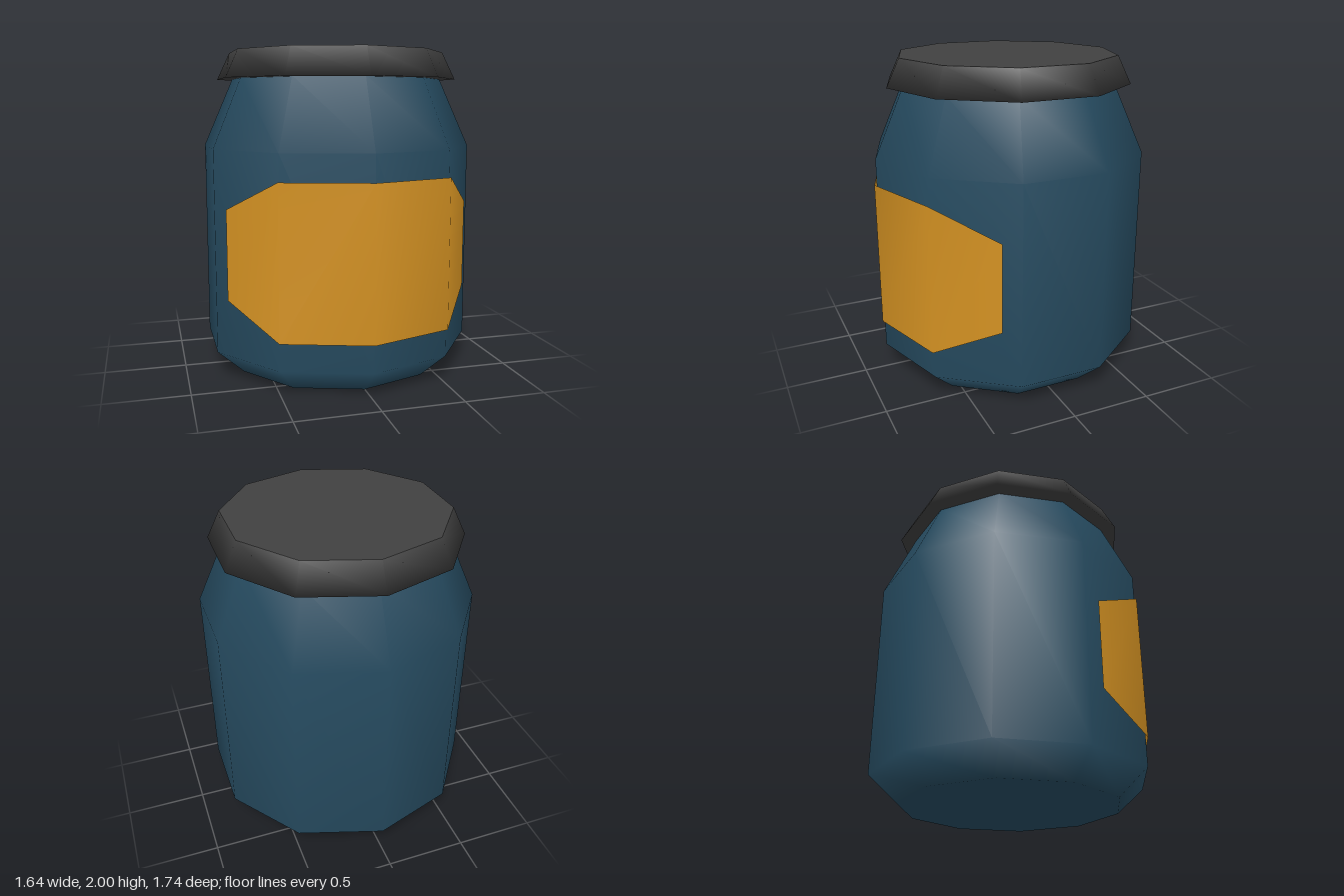
import * as THREE from 'three';

const SIDES = 10;
const CENTRE_Z = -0.005;

const paint = (name, color) => {
  const material = new THREE.MeshStandardMaterial({ color });
  material.name = name;
  return material;
};

// Ten-sided turned shape with a corner facing the front
function turned(name, profile, material) {
  const points = profile.map(([r, y]) => new THREE.Vector2(r, y));
  const mesh = new THREE.Mesh(new THREE.LatheGeometry(points, SIDES), material);
  mesh.name = name;
  return mesh;
}

// Wrapped label: columns of [x, z, bottom, top] following the jar's facets
function labelGeometry() {
  const columns = [
    [-0.76, 0.365, 0.51, 1.06],
    [-0.514, 0.708, 0.33, 1.25],
    [0, 0.875, 0.33, 1.25],
    [0.514, 0.708, 0.33, 1.25],
    [0.76, 0.365, 0.51, 1.06],
  ];
  const positions = [];
  const index = [];
  columns.forEach(([x, z, bottom, top], i) => {
    positions.push(x, bottom, z, x, top, z);
    if (i > 0) {
      const a = 2 * (i - 1);
      index.push(a, a + 2, a + 3, a, a + 3, a + 1);
    }
  });
  const geometry = new THREE.BufferGeometry();
  geometry.setAttribute('position', new THREE.Float32BufferAttribute(positions, 3));
  geometry.setIndex(index);
  geometry.computeVertexNormals();
  return geometry;
}

export function createModel() {
  const blue = paint('jar blue', 0x264b60);
  const grey = paint('lid grey', 0x404040);
  const amber = paint('label amber', 0xd39122);
  amber.side = THREE.DoubleSide;

  const model = new THREE.Group();
  model.name = 'jar';

  // Jar body with chamfered base and sloping shoulder
  const body = turned('body', [[0, 0], [0.685, 0], [0.86, 0.16], [0.86, 1.41], [0.67, 1.835]], blue);

  // Lid: flared skirt with underside, and a flat top with a crisp edge
  const lid = new THREE.Group();
  lid.name = 'lid';
  lid.add(turned('lidSkirt', [[0, 1.83], [0.77, 1.83], [0.687, 2]], grey));
  lid.add(turned('lidTop', [[0.687, 2], [0, 2]], grey));

  // Front label
  const label = new THREE.Mesh(labelGeometry(), amber);
  label.name = 'label';

  model.add(body, lid, label);
  model.children.forEach((part) => { part.position.z = CENTRE_Z; });
  return model;
}
